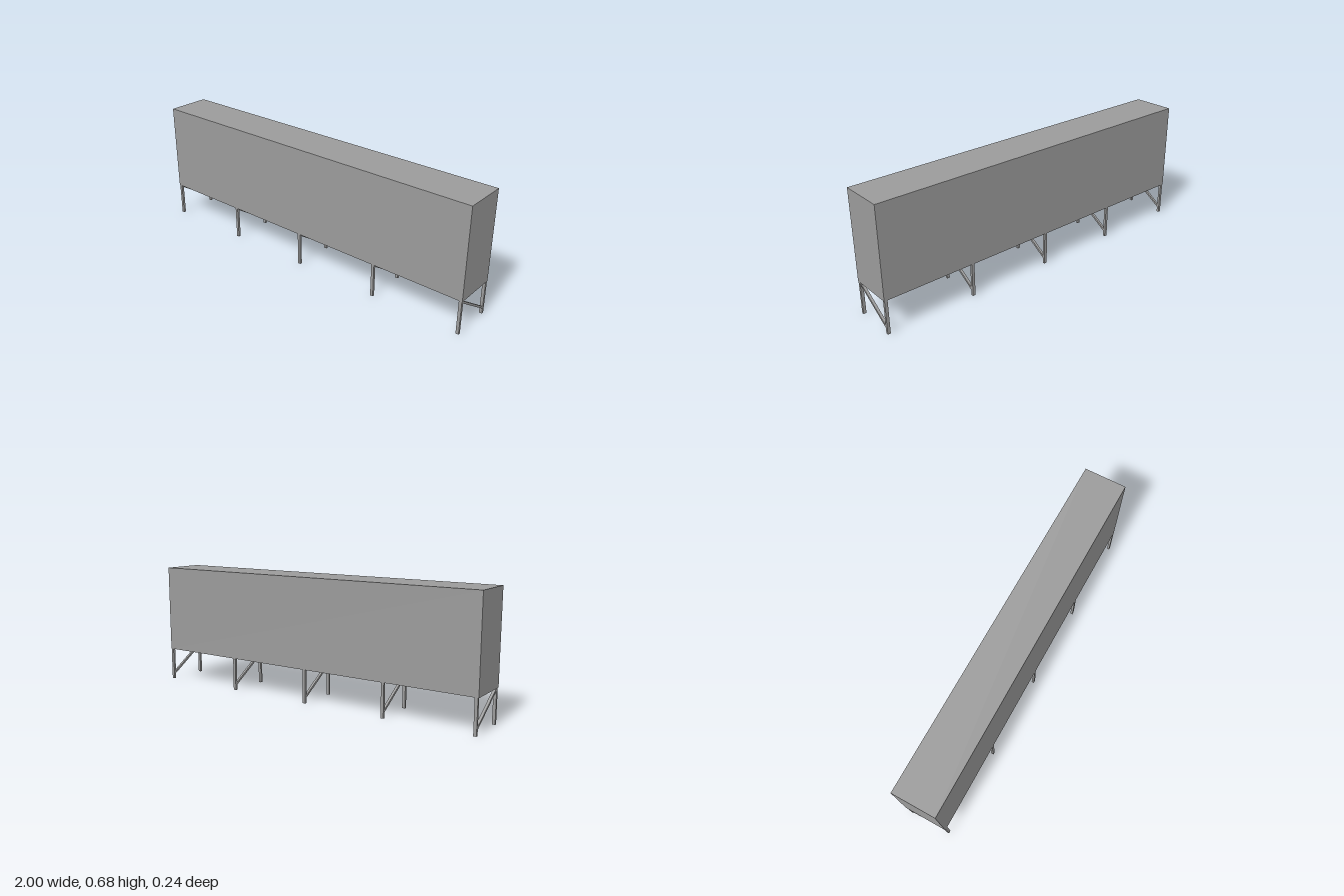
import * as THREE from 'three';

const material = new THREE.MeshStandardMaterial({ color: 0x9b9b9b });

function box(name, w, h, d, x, y, z) {
  const mesh = new THREE.Mesh(new THREE.BoxGeometry(w, h, d), material);
  mesh.name = name;
  mesh.position.set(x, y, z);
  return mesh;
}

// Two legs joined by a diagonal brace running from front top to back bottom
function createTrestle(x) {
  const trestle = new THREE.Group();
  trestle.name = 'trestle';
  trestle.position.x = x;
  const width = 0.016, depth = 0.0135, legHeight = 0.185, legZ = 0.12 - depth / 2;
  trestle.add(box('frontLeg', width, legHeight, depth, 0, legHeight / 2, legZ));
  trestle.add(box('backLeg', width, legHeight, depth, 0, legHeight / 2, -legZ));

  const top = new THREE.Vector2(0.11, 0.179), bottom = new THREE.Vector2(-0.11, 0.034);
  const run = top.clone().sub(bottom);
  const brace = box('brace', 0.014, 0.0115, run.length(), 0, (top.y + bottom.y) / 2, 0);
  brace.rotation.x = -Math.atan2(run.y, run.x);
  trestle.add(brace);
  return trestle;
}

export function createModel() {
  const model = new THREE.Group();
  model.name = 'raisedPanel';

  // Long closed body
  model.add(box('body', 2, 0.496, 0.24, 0, 0.433, 0));

  // Row of supports under the body
  for (const x of [-0.988, -0.493, -0.009, 0.487, 0.99]) model.add(createTrestle(x));
  return model;
}
